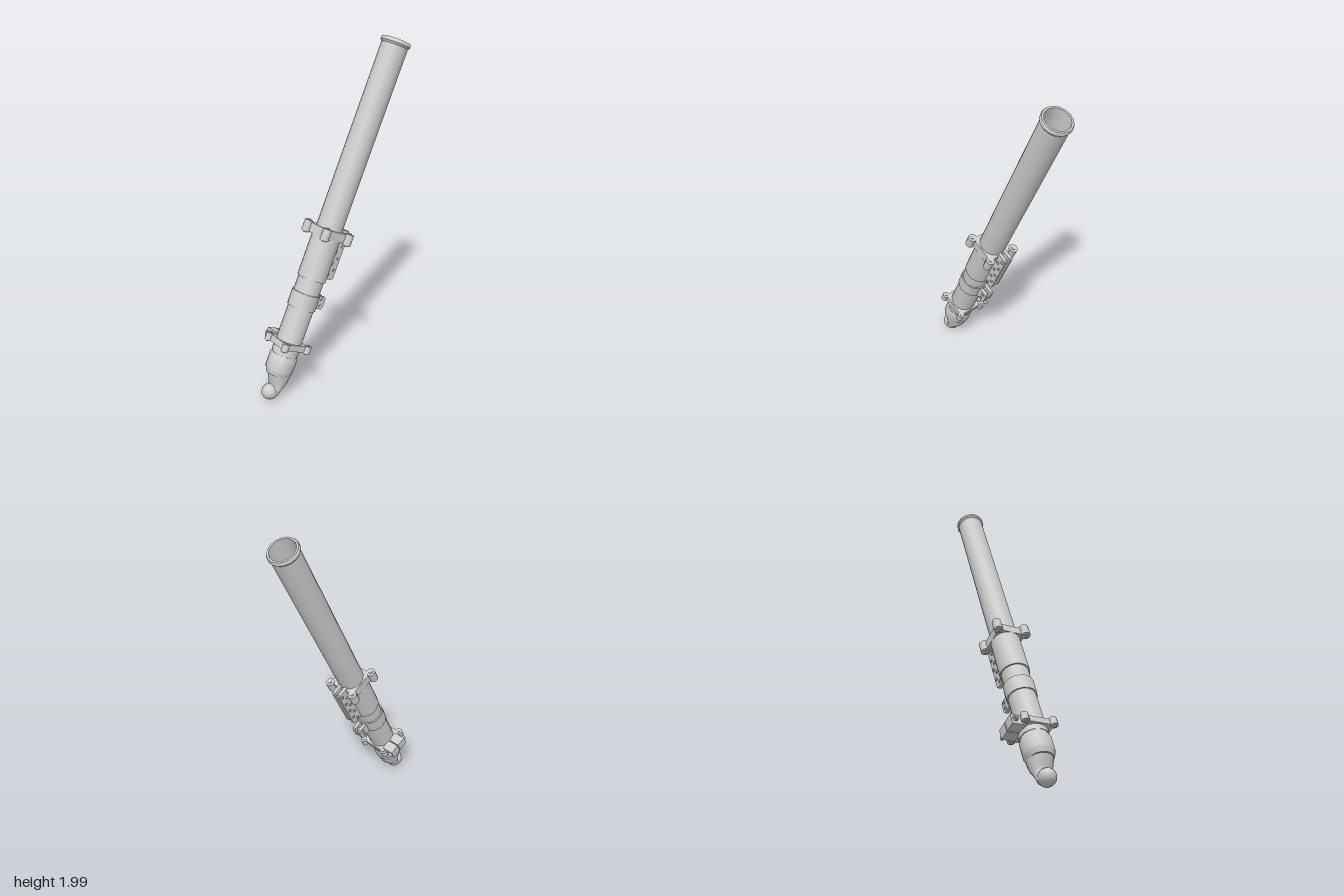
import * as THREE from 'three';
import { toCreasedNormals } from 'three/addons/utils/BufferGeometryUtils.js';

const grey = new THREE.MeshStandardMaterial({ color: 0xcccccc });
const greyDouble = new THREE.MeshStandardMaterial({ color: 0xcccccc, side: THREE.DoubleSide });

export function createModel() {
  // Everything is built upright, then leaned over as one tube.
  const model = new THREE.Group();
  const tube = new THREE.Group();
  tube.name = 'leaningTube';
  tube.position.set(-0.48, 0, 0.015);
  tube.rotation.z = THREE.MathUtils.degToRad(-25);
  model.add(tube);

  const add = (name, geometry, x = 0, y = 0, z = 0, parent = tube, material = grey) => {
    const mesh = new THREE.Mesh(geometry, material);
    mesh.name = name;
    mesh.position.set(x, y, z);
    parent.add(mesh);
    return mesh;
  };
  const turned = (name, points, sides = 16) => add(name, toCreasedNormals(
    new THREE.LatheGeometry(points.map(([r, y]) => new THREE.Vector2(r, y)), sides), 0.6),
    0, 0, 0, tube, greyDouble);

  // Hollow barrel with a flared muzzle rim
  turned('barrel', [[0, 0.28], [0.076, 0.28], [0.077, 2.135], [0.085, 2.146], [0.085, 2.16],
    [0.081, 2.167], [0.07, 2.167], [0.068, 2.12], [0.068, 1.1], [0, 1.1]]);

  // Breech collar and the neck bands above it
  turned('breechCollar', [[0, 0.165], [0.068, 0.165], [0.079, 0.188], [0.083, 0.2],
    [0.083, 0.28], [0.078, 0.292], [0.07, 0.292], [0.07, 0.302], [0.079, 0.302], [0.079, 0.33]]);

  // Breech cone, squeezed sideways towards the tip
  const cone = new THREE.CylinderGeometry(1, 1, 1, 16, 4);
  const sections = [[0.005, 0.073, 0.073, 0.185], [0.012, 0.066, 0.068, 0.155],
    [0.019, 0.05, 0.06, 0.12], [0.018, 0.033, 0.052, 0.09], [0.012, 0.033, 0.042, 0.045]];
  const p = cone.attributes.position;
  for (let i = 0; i < p.count; i++) {
    const [cx, rx, rz, y] = sections[Math.round((0.5 - p.getY(i)) * 4)];
    p.setXYZ(i, cx + p.getX(i) * rx, y, p.getZ(i) * rz);
  }
  add('breechCone', toCreasedNormals(cone, 0.6));
  const ball = add('breechBall', new THREE.SphereGeometry(0.047, 14, 10), -0.008, 0.054, 0);
  ball.scale.x = 1.08;

  // Square clamp with dished sides and a knob at each corner
  const clamp = (name, y, height, waist, corner, knob) => {
    const group = new THREE.Group();
    group.name = name;
    group.position.y = y;
    tube.add(group);
    const shape = new THREE.Shape();
    const corners = [[1, 1], [-1, 1], [-1, -1], [1, -1]].map(([a, b]) => [a * corner, b * corner]);
    shape.moveTo(...corners[0]);
    corners.forEach(([ax, ay], i) => {
      const [bx, by] = corners[(i + 1) % 4];
      const mid = new THREE.Vector2(ax + bx, ay + by).setLength(waist);
      shape.quadraticCurveTo(mid.x, mid.y, bx, by);
    });
    shape.holes.push(new THREE.Path().absarc(0, 0, 0.072, 0, Math.PI * 2, true));
    const plate = new THREE.ExtrudeGeometry(shape, { depth: height * 0.8, bevelEnabled: false, curveSegments: 8 });
    plate.rotateX(-Math.PI / 2).translate(0, height * 0.1, 0);
    add('clampPlate', plate, 0, 0, 0, group);
    for (const [x, z] of corners) {
      const post = new THREE.CylinderGeometry(knob, knob, height, 10);
      add('cornerKnob', toCreasedNormals(post, 0.7), x, height / 2, z, group);
      add('cornerBolt', new THREE.CylinderGeometry(knob * 0.45, knob * 0.45, height + 0.012, 6),
        x, height / 2, z, group);
    }
    return group;
  };

  clamp('upperClamp', 1.0, 0.067, 0.08, 0.086, 0.026);
  const lower = clamp('lowerClamp', 0.333, 0.046, 0.084, 0.082, 0.021);

  // Split bracket and cross bolt behind the lower clamp
  for (const x of [-0.028, 0.038]) {
    add('splitBracket', new THREE.BoxGeometry(0.06, 0.06, 0.075), x, 0.025, -0.108, lower);
  }
  const crossBolt = add('crossBolt', new THREE.CylinderGeometry(0.009, 0.009, 0.175, 8), 0.01, 0.025, -0.125, lower);
  crossBolt.rotation.z = Math.PI / 2;
  for (const x of [-0.066, 0.076]) {
    const nut = add('crossBoltNut', new THREE.CylinderGeometry(0.016, 0.016, 0.014, 6), x, 0.025, -0.125, lower);
    nut.rotation.z = Math.PI / 2;
  }

  // Sleeve below the upper clamp, and the narrow band
  turned('sleeve', [[0.074, 0.758], [0.084, 0.758], [0.084, 1.055], [0.074, 1.055]]);
  turned('band', [[0.074, 0.58], [0.083, 0.58], [0.084, 0.6], [0.084, 0.672], [0.074, 0.672]]);

  // Paired flange plates with a slot between them, held by bolts
  const flange = (name, y0, y1, bolts) => {
    const group = new THREE.Group();
    group.name = name;
    tube.add(group);
    const outline = new THREE.Shape();
    outline.moveTo(0.06, y0);
    outline.lineTo(0.132, y0);
    outline.lineTo(0.141, y0 + 0.01);
    outline.lineTo(0.141, y1 - 0.01);
    outline.lineTo(0.132, y1);
    outline.lineTo(0.06, y1);
    for (const side of [-1, 1]) {
      const plate = new THREE.ExtrudeGeometry(outline, { depth: 0.02, bevelEnabled: false });
      add('flangePlate', plate, 0, 0, side * 0.019 - 0.01 - 0.007, group);
    }
    for (const [x, y] of bolts) {
      const bolt = add('flangeBolt', new THREE.CylinderGeometry(0.009, 0.009, 0.07, 6), x, y, -0.007, group);
      bolt.rotation.x = Math.PI / 2;
    }
  };
  const zigzag = Array.from({ length: 8 }, (_, i) => [i % 2 ? 0.124 : 0.1, 0.795 + i * 0.036]);
  flange('sleeveFlange', 0.772, 1.073, zigzag);
  flange('bandFlange', 0.588, 0.665, [[0.114, 0.608], [0.114, 0.645]]);

  return model;
}
